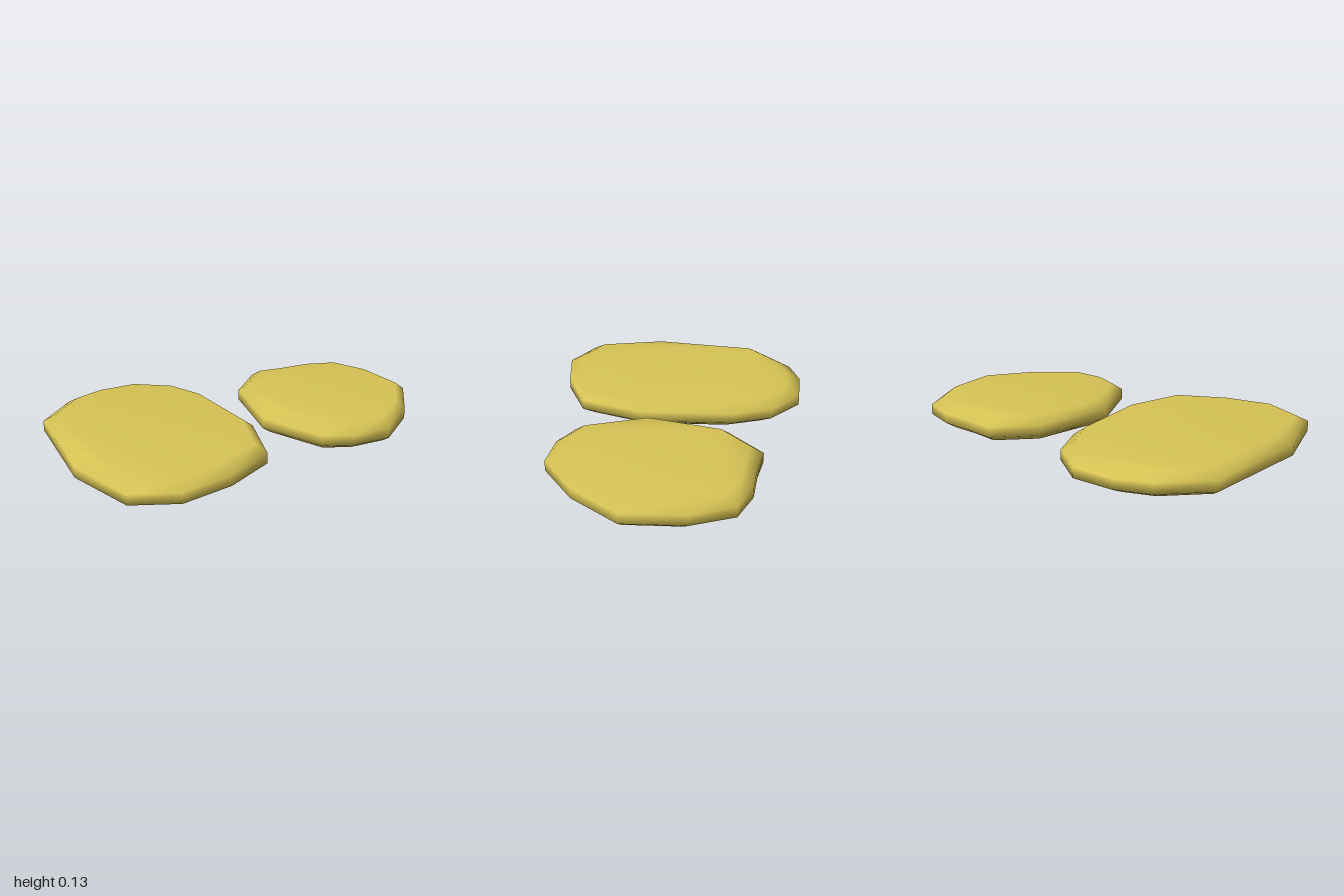
import * as THREE from 'three';

// Outlines as [x, z] corners, starting at the back on the right-hand side
const LARGE = [
  [-0.98, -0.4], [-0.78, -0.61], [-0.61, -0.68], [-0.38, -0.69], [-0.18, -0.555], [-0.08, -0.35],
  [-0.02, 0.14], [-0.11, 0.48], [-0.37, 0.625], [-0.645, 0.69], [-0.875, 0.595], [-1, 0.22],
];
const SMALL = [
  [0.14, -0.36], [0.325, -0.555], [0.49, -0.54], [0.67, -0.54], [0.85, -0.485], [0.96, -0.28],
  [1, 0.03], [0.825, 0.295], [0.595, 0.485], [0.39, 0.485], [0.235, 0.42], [0.07, 0.08],
];

// Height and outline scale of each ring: chamfered bottom, upright rim, chamfered top
const RINGS = [[0, 0.89], [0.036, 1], [0.09, 1], [0.13, 0.89]];

function stoneGeometry(outline) {
  const n = outline.length;
  const box = new THREE.Box2().setFromPoints(outline.map(([x, z]) => new THREE.Vector2(x, z)));
  const c = box.getCenter(new THREE.Vector2());
  const positions = [];
  const index = [];

  for (const [y, s] of RINGS) {
    for (const [x, z] of outline) positions.push(c.x + (x - c.x) * s, y, c.y + (z - c.y) * s);
  }
  // Sides
  for (let r = 0; r < RINGS.length - 1; r++) {
    for (let i = 0; i < n; i++) {
      const j = (i + 1) % n;
      const a = r * n + i, b = r * n + j;
      index.push(a, a + n, b, b, a + n, b + n);
    }
  }
  // Flat bottom and top, sharing the ring corners so the shading stays soft
  const top = (RINGS.length - 1) * n;
  for (let i = 1; i < n - 1; i++) {
    index.push(0, i, i + 1);
    index.push(top, top + i + 1, top + i);
  }

  const geometry = new THREE.BufferGeometry();
  geometry.setAttribute('position', new THREE.Float32BufferAttribute(positions, 3));
  geometry.setIndex(index);
  geometry.computeVertexNormals();
  return geometry;
}

export function createModel() {
  const group = new THREE.Group();
  group.name = 'steppingStones';
  const material = new THREE.MeshStandardMaterial({ color: 0xd8c455 });
  for (const [name, outline] of [['largeStone', LARGE], ['smallStone', SMALL]]) {
    const stone = new THREE.Mesh(stoneGeometry(outline), material);
    stone.name = name;
    group.add(stone);
  }
  return group;
}
